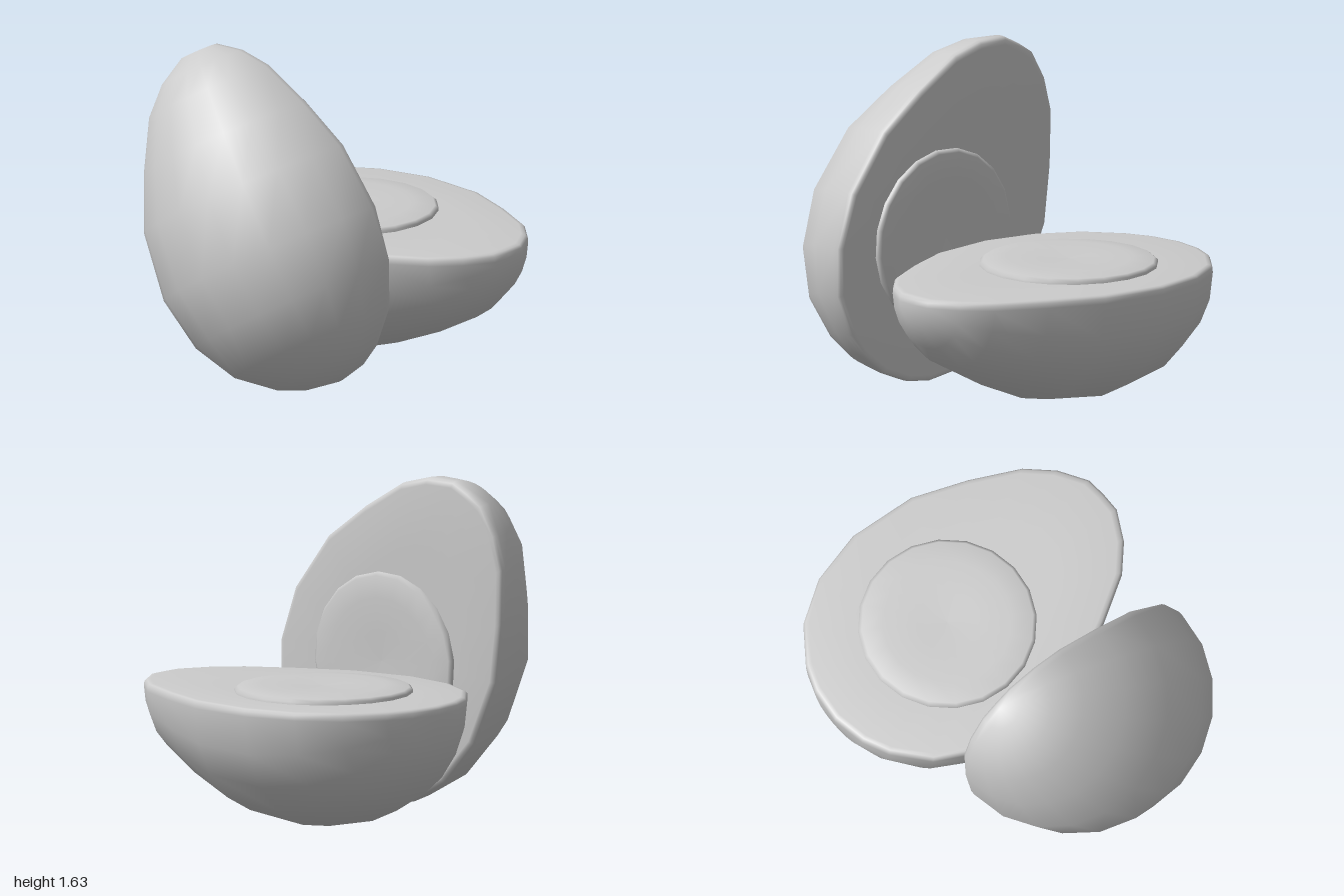
import * as THREE from 'three';
import { mergeGeometries, mergeVertices, toCreasedNormals } from 'three/addons/utils/BufferGeometryUtils.js';

const material = new THREE.MeshStandardMaterial({ color: 0xcccccc });

// Egg outline: [position along the axis, half width], blunt end to tip
const OUTLINE = [
  [-0.87, 0], [-0.845, 0.17], [-0.79, 0.3], [-0.655, 0.47], [-0.45, 0.59], [-0.18, 0.645],
  [0.16, 0.605], [0.425, 0.49], [0.66, 0.36], [0.78, 0.24], [0.86, 0.1], [0.865, 0],
];
const RIM = 0.04; // height of the rounded rim
const AXIS_MID = -0.1; // point the rim shrinks towards

// Skin a list of equally long rings of [x, y, z] points
function loft(rings) {
  const n = rings[0].length;
  const index = [];
  for (let i = 0; i < rings.length - 1; i++) {
    for (let j = 0; j < n - 1; j++) {
      const a = i * n + j, b = a + n;
      index.push(a, b, a + 1, b, b + 1, a + 1);
    }
  }
  const geometry = new THREE.BufferGeometry();
  geometry.setAttribute('position', new THREE.Float32BufferAttribute(rings.flat(2), 3));
  geometry.setIndex(index);
  return geometry;
}

function eggWhiteGeometry() {
  // Rounded shell: a half circle at every station along the axis
  const steps = 10;
  const dome = loft(OUTLINE.map(([z, w]) => {
    const ring = [];
    for (let j = 0; j <= steps; j++) {
      const a = (j / steps) * Math.PI;
      ring.push([w * Math.cos(a), -RIM - 0.95 * w * Math.sin(a), z]);
    }
    return ring;
  }));

  // Soft rim and flat cut face: the outline loop shrinking to the middle
  const loop = [
    ...OUTLINE.map(([z, w]) => [w, z]),
    ...OUTLINE.slice(0, -1).reverse().map(([z, w]) => [-w, z]),
  ];
  const levels = [[1, -RIM], [0.998, -0.015], [0.985, -0.003], [0.96, 0], [0.6, 0], [0, 0]];
  const face = loft(levels.map(([s, y]) =>
    loop.map(([x, z]) => [x * s, y, AXIS_MID + (z - AXIS_MID) * s])));

  const welded = mergeVertices(mergeGeometries([dome, face]), 1e-4);
  return toCreasedNormals(welded, 0.9);
}

function yolkGeometry() {
  // Low disc with a rounded edge and a slightly dished top
  const profile = [[0.43, -0.02], [0.432, 0.012], [0.415, 0.026], [0.31, 0.037], [0.15, 0.033], [0, 0.029]];
  return new THREE.LatheGeometry(profile.map(([r, y]) => new THREE.Vector2(r, y)), 20);
}

// Half egg with its cut face up (+y) and its tip towards +z
function halfEgg(name) {
  const group = new THREE.Group();
  group.name = name;
  const white = new THREE.Mesh(eggWhiteGeometry(), material);
  white.name = 'eggWhite';
  const yolk = new THREE.Mesh(yolkGeometry(), material);
  yolk.name = 'yolk';
  yolk.position.z = -0.145;
  group.add(white, yolk);
  return group;
}

export function createModel() {
  const model = new THREE.Group();
  model.name = 'halvedEgg';

  // Half lying on its back
  const lying = halfEgg('lyingHalf');
  lying.position.set(0.35, 0.668, 0);

  // Half standing on edge, cut face towards +x, tip leaning backwards
  const standing = halfEgg('standingHalf');
  const lean = THREE.MathUtils.degToRad(30.5);
  const s = Math.sin(lean), c = Math.cos(lean);
  standing.quaternion.setFromRotationMatrix(new THREE.Matrix4().makeBasis(
    new THREE.Vector3(0, s, c), new THREE.Vector3(1, 0, 0), new THREE.Vector3(0, c, -s)));
  standing.position.set(-0.348, 0.838, -0.026);

  model.add(lying, standing);
  return model;
}
